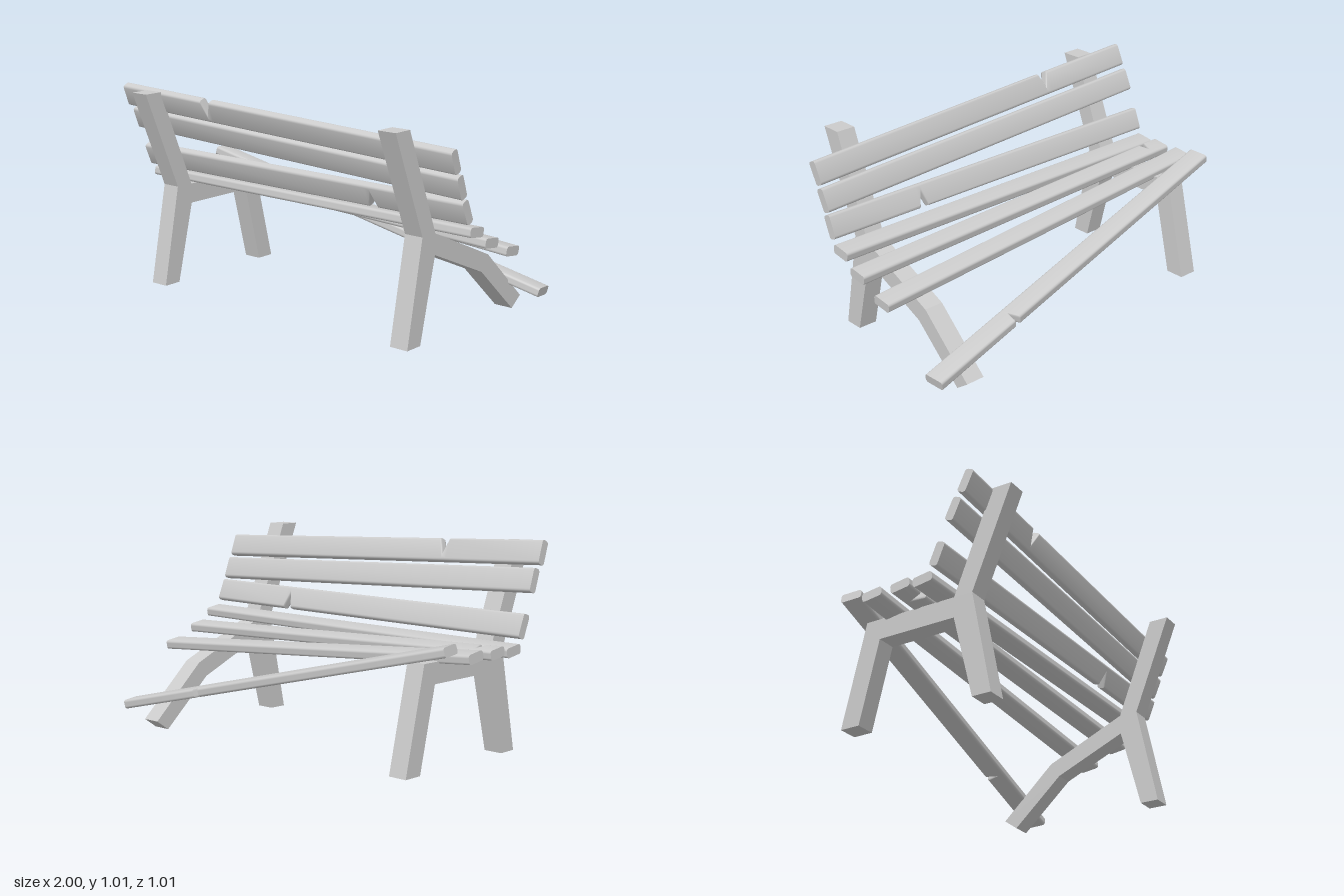
import * as THREE from 'three';
import { toCreasedNormals } from 'three/addons/utils/BufferGeometryUtils.js';

const material = new THREE.MeshStandardMaterial({ color: 0xcccccc });

// Side frame: outline given as [z, y], extruded across x
function frame(name, outline, x, width = 0.097) {
  const shape = new THREE.Shape(outline.map(([z, y]) => new THREE.Vector2(-z, y)));
  const geo = new THREE.ExtrudeGeometry(shape, { depth: width, bevelEnabled: false });
  geo.translate(0, 0, -width / 2).rotateY(Math.PI / 2);
  const mesh = new THREE.Mesh(geo, material);
  mesh.name = name;
  mesh.position.x = x;
  return mesh;
}

// Rounded rectangle section as [thickness, width] pairs
function section(t, w, r = 0.013, steps = 3) {
  const pts = [];
  [[1, 1], [-1, 1], [-1, -1], [1, -1]].forEach(([sy, sz], q) => {
    for (let i = 0; i <= steps; i++) {
      const a = (q + i / steps) * Math.PI / 2;
      pts.push([sy * (t / 2 - r) + r * Math.cos(a), sz * (w / 2 - r) + r * Math.sin(a)]);
    }
  });
  return pts;
}

// Plank lofted along x, with an optional V-shaped notch in one long edge
function plankGeometry(length, t, w, notch) {
  const ring = section(t, w), n = ring.length;
  const stations = [[-length / 2, 0], [length / 2, 0]];
  if (notch) {
    stations.splice(1, 0, [notch.x - notch.half, 0], [notch.x, notch.depth], [notch.x + notch.half, 0]);
  }
  const pos = [], index = [];
  for (const [x, cut] of stations) {
    for (const [y, z] of ring) pos.push(x, y, notch && z * notch.side > 0 ? z - notch.side * cut : z);
  }
  for (let s = 0; s < stations.length - 1; s++) {
    for (let j = 0; j < n; j++) {
      const a = s * n + j, b = s * n + (j + 1) % n;
      index.push(a, b, b + n, a, b + n, a + n);
    }
  }
  const end = (stations.length - 1) * n;
  for (let j = 1; j < n - 1; j++) index.push(0, j + 1, j, end, end + j, end + j + 1);
  const geo = new THREE.BufferGeometry();
  geo.setAttribute('position', new THREE.Float32BufferAttribute(pos, 3));
  geo.setIndex(index);
  return toCreasedNormals(geo, 0.7);
}

// Plank between two end centres, its wide face running along `across`
function plank(name, from, to, across, t, w, notch) {
  const a = new THREE.Vector3(...from), b = new THREE.Vector3(...to);
  const X = b.clone().sub(a).normalize();
  const Z = new THREE.Vector3(...across);
  Z.addScaledVector(X, -Z.dot(X)).normalize();
  const Y = Z.clone().cross(X);
  const mesh = new THREE.Mesh(plankGeometry(a.distanceTo(b), t, w, notch), material);
  mesh.name = name;
  mesh.quaternion.setFromRotationMatrix(new THREE.Matrix4().makeBasis(X, Y, Z));
  mesh.position.copy(a).add(b).multiplyScalar(0.5);
  return mesh;
}

export function createModel() {
  const group = new THREE.Group();
  group.name = 'brokenBench';

  // Back leg and backrest post, shared by both frames
  const rear = [[0.21, 0.4], [0.31, 0], [0.405, 0], [0.305, 0.5], [0.505, 0.995], [0.405, 0.995], [0.21, 0.5]];
  // Intact frame with a straight front leg
  group.add(frame('rightFrame', [...rear, [-0.265, 0.5], [-0.385, 0], [-0.287, 0], [-0.19, 0.4]], -0.78));
  // Collapsed frame with a sagging rail and a splayed front leg
  group.add(frame('leftFrame', [...rear, [-0.21, 0.315], [-0.495, 0.05], [-0.425, 0], [-0.16, 0.24]], 0.763));

  // Backrest planks
  const up = [0, 0.925, 0.38];
  group.add(
    plank('topBackPlank', [-0.998, 0.956, 0.374], [0.998, 0.867, 0.324], up, 0.045, 0.115,
      { x: -0.44, half: 0.028, depth: 0.075, side: 1 }),
    plank('middleBackPlank', [-0.998, 0.833, 0.311], [0.998, 0.747, 0.276], up, 0.045, 0.115),
    plank('lowerBackPlank', [-1, 0.63, 0.233], [1, 0.63, 0.233], up, 0.045, 0.115,
      { x: 0.478, half: 0.026, depth: 0.078, side: -1 })
  );

  // Seat planks, fanning down towards the collapsed frame
  const seat = [0, 0.14, 0.99];
  group.add(
    plank('rearSeatPlank', [-1, 0.526, 0.159], [1, 0.526, 0.159], seat, 0.046, 0.102),
    plank('secondSeatPlank', [-0.999, 0.53, 0.039], [0.999, 0.453, 0.039], seat, 0.046, 0.102,
      { x: -0.895, half: 0.02, depth: 0.062, side: 1 }),
    plank('thirdSeatPlank', [-0.997, 0.53, -0.115], [0.997, 0.38, -0.133], seat, 0.046, 0.104,
      null),
    plank('frontSeatPlank', [-0.966, 0.574, -0.255], [0.966, 0.108, -0.454], [0, 0.11, 0.99], 0.046, 0.104,
      { x: 0.49, half: 0.016, depth: 0.055, side: -1 })
  );
  return group;
}
